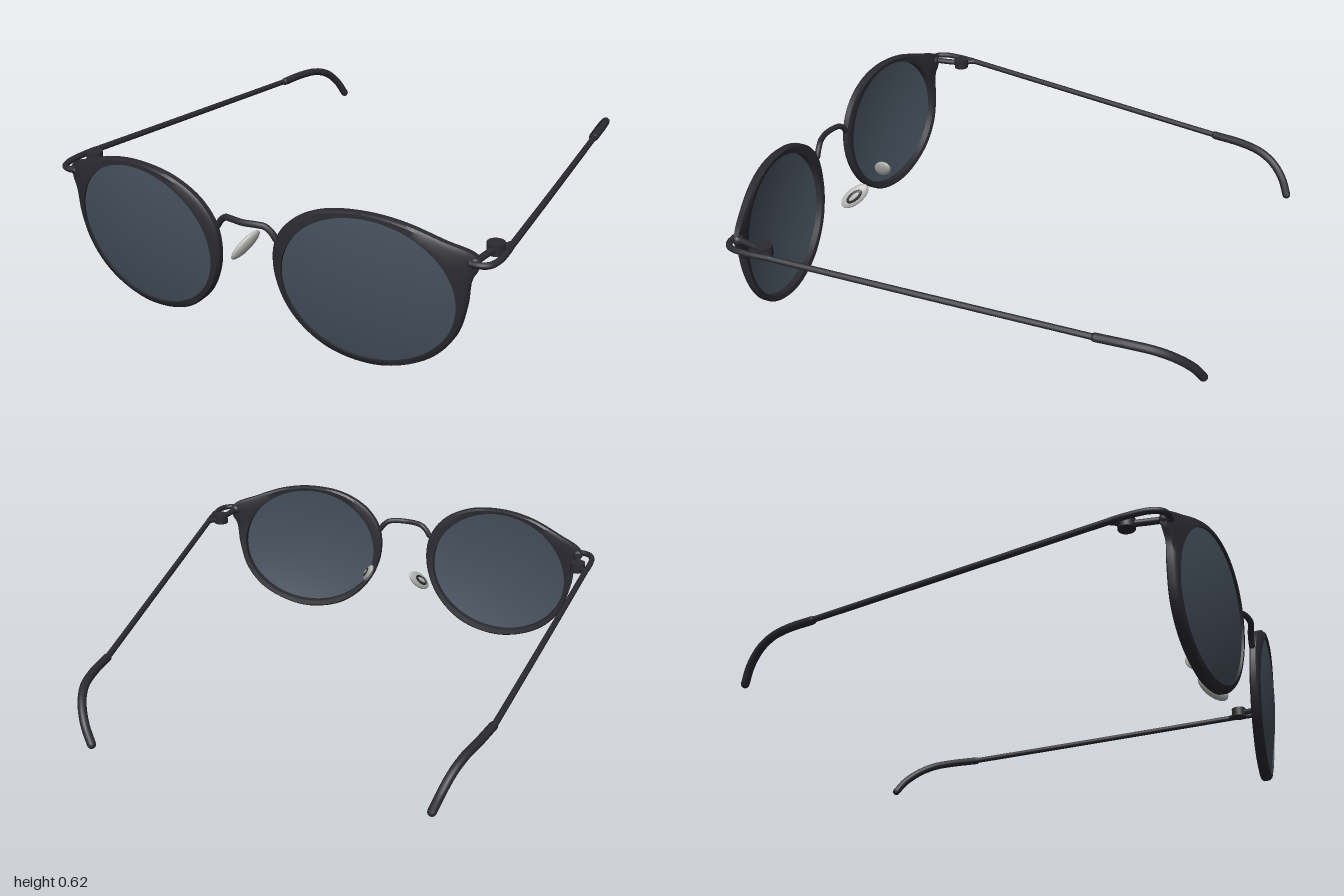
import * as THREE from 'three';
import { toCreasedNormals } from 'three/addons/utils/BufferGeometryUtils.js';

const V = (x, y, z) => new THREE.Vector3(x, y, z);
const CX = 0.48, CY = 0.32, RX = 0.327, RY = 0.289; // lens opening
const SEG = 96;

// Wrapped, tilted front surface shared by rim and lens
const frontZ = (x, y) =>
  0.973 - 0.33 * ((x - CX) ** 2 + (y - CY) ** 2) - 0.115 * (x - CX) + 0.085 * (y - CY);

// Mirror a geometry across x, keeping its faces outward
function mirrored(geo) {
  const g = geo.index ? geo.toNonIndexed() : geo.clone();
  g.scale(-1, 1, 1);
  for (const a of Object.values(g.attributes)) {
    const n = a.itemSize;
    for (let i = 0; i < a.count; i += 3) {
      for (let k = 0; k < n; k++) {
        const p = (i + 1) * n + k, q = (i + 2) * n + k;
        [a.array[p], a.array[q]] = [a.array[q], a.array[p]];
      }
    }
  }
  return g;
}

function gridGeometry(positions, index) {
  const g = new THREE.BufferGeometry();
  g.setAttribute('position', new THREE.Float32BufferAttribute(positions, 3));
  g.setIndex(index);
  g.computeVertexNormals();
  return g;
}

// Rim: a six-sided section swept between the lens opening and the outer outline
function rimGeometry() {
  const outline = new THREE.CatmullRomCurve3([
    [0.47, 0.003], [0.60, 0.025], [0.72, 0.09], [0.80, 0.19], [0.838, 0.32], [0.85, 0.42],
    [0.872, 0.465], [0.868, 0.513], [0.76, 0.56], [0.62, 0.61], [0.48, 0.628], [0.32, 0.608],
    [0.20, 0.545], [0.135, 0.46], [0.116, 0.37], [0.13, 0.26], [0.19, 0.14], [0.31, 0.04],
  ].map(([x, y]) => V(x, y, 0)), true);
  const section = [[0, 0], [0.75, 0], [1, -0.008], [1, -0.03], [0.75, -0.038], [0, -0.038]];
  const pos = [], idx = [], m = section.length;
  for (let i = 0; i < SEG; i++) {
    const o = outline.getPointAt(i / SEG);
    const dx = o.x - CX, dy = o.y - CY;
    const k = 1 / Math.hypot(dx / RX, dy / RY);
    for (const [t, dz] of section) {
      const f = k + (1 - k) * t, x = CX + dx * f, y = CY + dy * f;
      pos.push(x, y, frontZ(x, y) + dz);
    }
    const n = (i + 1) % SEG;
    for (let j = 0; j < m; j++) {
      const j2 = (j + 1) % m;
      const a = i * m + j, b = n * m + j, c = n * m + j2, d = i * m + j2;
      idx.push(a, d, c, a, c, b);
    }
  }
  return toCreasedNormals(gridGeometry(pos, idx), 0.7);
}

// Lens: curved disc in concentric rings
function lensGeometry() {
  const rings = 10, pos = [], idx = [];
  for (let r = 0; r <= rings; r++) {
    for (let i = 0; i < SEG; i++) {
      const a = (i / SEG) * Math.PI * 2, f = (r / rings) * 1.01;
      const x = CX + RX * f * Math.cos(a), y = CY + RY * f * Math.sin(a);
      pos.push(x, y, frontZ(x, y) - 0.01);
      if (r === rings) continue;
      const n = (i + 1) % SEG;
      const p = r * SEG + i, q = r * SEG + n;
      idx.push(p, p + SEG, q + SEG);
      if (r) idx.push(p, q + SEG, q);
    }
  }
  return gridGeometry(pos, idx);
}

export function createModel() {
  const model = new THREE.Group();
  const frame = new THREE.MeshStandardMaterial({ name: 'charcoalFrame', color: 0x2b2a31 });
  const glass = new THREE.MeshStandardMaterial({ name: 'smokeLens', color: 0x46515d, side: THREE.DoubleSide });
  const silver = new THREE.MeshStandardMaterial({ name: 'silverPad', color: 0xb8b8b4 });

  const add = (name, geo, mat, parent = model) => {
    const m = new THREE.Mesh(geo, mat);
    m.name = name;
    parent.add(m);
    return m;
  };

  // Round bar along points, with rounded ends
  const bar = (name, pts, r, side = 1, steps = 32) => {
    const g = new THREE.Group();
    g.name = name;
    const path = pts.map(([x, y, z]) => V(x * side, y, z));
    add(name + 'Bar', new THREE.TubeGeometry(new THREE.CatmullRomCurve3(path, false, 'centripetal'), steps, r, 12), frame, g);
    for (const p of [path[0], path[path.length - 1]]) {
      add(name + 'End', new THREE.SphereGeometry(r, 12, 8), frame, g).position.copy(p);
    }
    model.add(g);
  };

  // Bridge
  bar('bridge', [[-0.125, 0.445, 0.955], [-0.11, 0.468, 0.957], [-0.085, 0.489, 0.962], [-0.055, 0.494, 0.971],
    [0, 0.494, 0.979], [0.055, 0.494, 0.971], [0.085, 0.489, 0.962], [0.11, 0.468, 0.957], [0.125, 0.445, 0.955]], 0.0125, 1, 48);

  // Nose pad frame: long axis, width, outward normal
  const long = V(0.035, -0.05, 0.052).normalize();
  const out = V(0.85, 0.35, -0.235);
  out.addScaledVector(long, -out.dot(long)).normalize();
  const wide = new THREE.Vector3().crossVectors(out, long);
  const padPart = (a, b, c, lift) => new THREE.SphereGeometry(1, 28, 16).scale(a, b, c).applyMatrix4(
    new THREE.Matrix4().makeBasis(long, wide, out)
      .setPosition(V(0.128, 0.285, 0.778).addScaledVector(out, lift)));

  const pieces = [
    ['Rim', rimGeometry(), frame],
    ['Lens', lensGeometry(), glass],
    ['NosePad', padPart(0.076, 0.036, 0.016, 0), silver],
    ['NosePadRecess', padPart(0.044, 0.02, 0.006, 0.0125), frame],
    ['NosePadBoss', padPart(0.03, 0.01, 0.006, 0.0155), silver],
    ['HingeBarrel', new THREE.CylinderGeometry(0.033, 0.033, 0.042, 20).translate(0.878, 0.491, 0.73), frame],
    ['HingeMount', new THREE.SphereGeometry(0.024, 16, 12).translate(0.857, 0.49, 0.866), frame],
  ];
  for (const [name, geo, mat] of pieces) {
    add('left' + name, geo, mat);
    add('right' + name, mirrored(geo), mat);
  }

  // Temple tips bend inward slightly differently on each side
  const tips = {
    left: [[0.795, 0.418, -0.6], [0.788, 0.42, -0.73], [0.775, 0.412, -0.82], [0.75, 0.382, -0.89],
      [0.71, 0.325, -0.95], [0.672, 0.262, -0.98]],
    right: [[0.793, 0.418, -0.6], [0.767, 0.42, -0.73], [0.74, 0.412, -0.82], [0.715, 0.382, -0.89],
      [0.69, 0.325, -0.945], [0.668, 0.262, -0.977]],
  };
  for (const [name, s] of [['left', 1], ['right', -1]]) {
    // End piece wrapping from the rim round to the temple
    bar(name + 'EndPiece', [[0.85, 0.492, 0.885], [0.885, 0.492, 0.884], [0.912, 0.492, 0.868],
      [0.927, 0.493, 0.83], [0.928, 0.493, 0.76], [0.92, 0.492, 0.68]], 0.0125, s);
    // Hinge links
    bar(name + 'HingeArm', [[0.857, 0.49, 0.87], [0.867, 0.49, 0.80], [0.878, 0.49, 0.74]], 0.013, s, 8);
    bar(name + 'HingeLink', [[0.878, 0.49, 0.73], [0.905, 0.49, 0.70], [0.92, 0.49, 0.675]], 0.012, s, 8);
    // Temple arm and ear tip
    bar(name + 'Temple', [[0.922, 0.492, 0.70], [0.86, 0.455, 0.06], [0.795, 0.418, -0.6]], 0.0125, s);
    bar(name + 'EarTip', tips[name], 0.0175, s);
  }
  return model;
}
